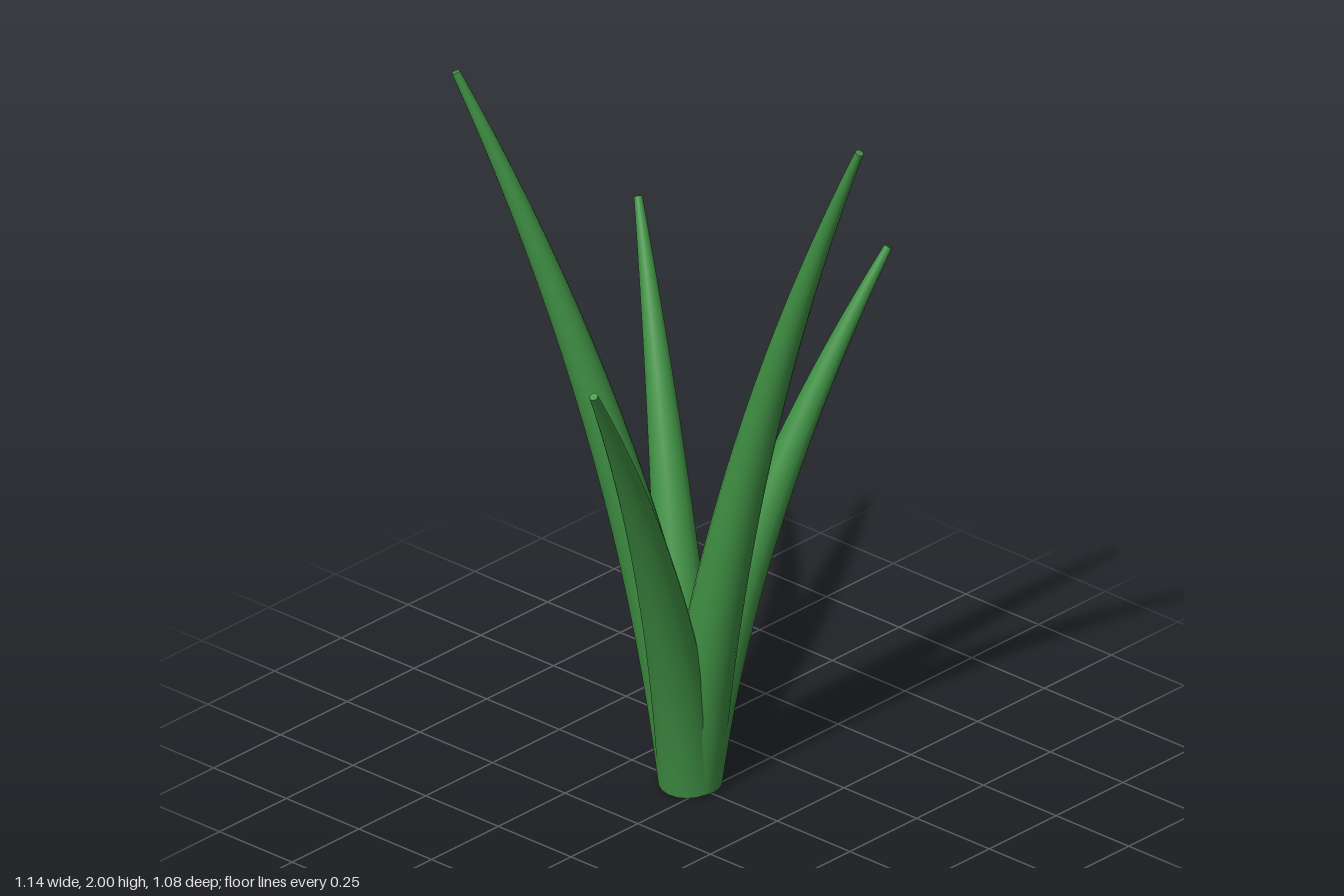
import * as THREE from 'three';

const BASE = new THREE.Vector3(0, 0.012, -0.05);
const BASE_RADIUS = 0.082, TIP_RADIUS = 0.011;
const SEGMENTS = 20, SIDES = 20;

// Tip of each leaf: name, x, y, z
const LEAVES = [
  ['frontLeaf', 0.003, 1.995, 0.53],
  ['leftLeaf', 0.557, 1.377, 0.12],
  ['backLeftLeaf', 0.333, 1.377, -0.535],
  ['backRightLeaf', -0.358, 1.995, -0.527],
  ['rightLeaf', -0.562, 1.377, 0.135],
];

// Flat end of a leaf, facing along the given direction
function makeCap(point, direction, radius, material, name) {
  const cap = new THREE.Mesh(new THREE.CircleGeometry(radius, SIDES), material);
  cap.position.copy(point);
  cap.quaternion.setFromUnitVectors(new THREE.Vector3(0, 0, 1), direction);
  cap.name = name;
  return cap;
}

function makeLeaf(name, tip, material) {
  const leaf = new THREE.Group();
  leaf.name = name;

  // Steep at the root, leaning outward towards the tip
  const middle = BASE.clone().lerp(tip, 0.225);
  middle.y = (BASE.y + tip.y) / 2;
  const curve = new THREE.QuadraticBezierCurve3(BASE, middle, tip);

  // Tube of unit radius, drawn in to a taper ring by ring
  const geometry = new THREE.TubeGeometry(curve, SEGMENTS, 1, SIDES, false);
  const position = geometry.attributes.position;
  const v = new THREE.Vector3();
  for (let i = 0; i <= SEGMENTS; i++) {
    const t = i / SEGMENTS;
    const centre = curve.getPointAt(t);
    const radius = THREE.MathUtils.lerp(BASE_RADIUS, TIP_RADIUS, Math.pow(t, 1.2));
    for (let j = 0; j <= SIDES; j++) {
      const k = i * (SIDES + 1) + j;
      v.fromBufferAttribute(position, k).sub(centre).multiplyScalar(radius).add(centre);
      position.setXYZ(k, v.x, v.y, v.z);
    }
  }
  geometry.computeBoundingSphere();
  const blade = new THREE.Mesh(geometry, material);
  blade.name = 'blade';

  leaf.add(
    blade,
    makeCap(BASE, curve.getTangentAt(0).negate(), BASE_RADIUS, material, 'rootEnd'),
    makeCap(tip, curve.getTangentAt(1), TIP_RADIUS, material, 'tipEnd'),
  );
  return leaf;
}

export function createModel() {
  const green = new THREE.MeshStandardMaterial({ color: 0x409144 });
  green.name = 'leaf green';
  const plant = new THREE.Group();
  plant.name = 'plant';
  for (const [name, x, y, z] of LEAVES) {
    plant.add(makeLeaf(name, new THREE.Vector3(x, y, z), green));
  }
  return plant;
}
